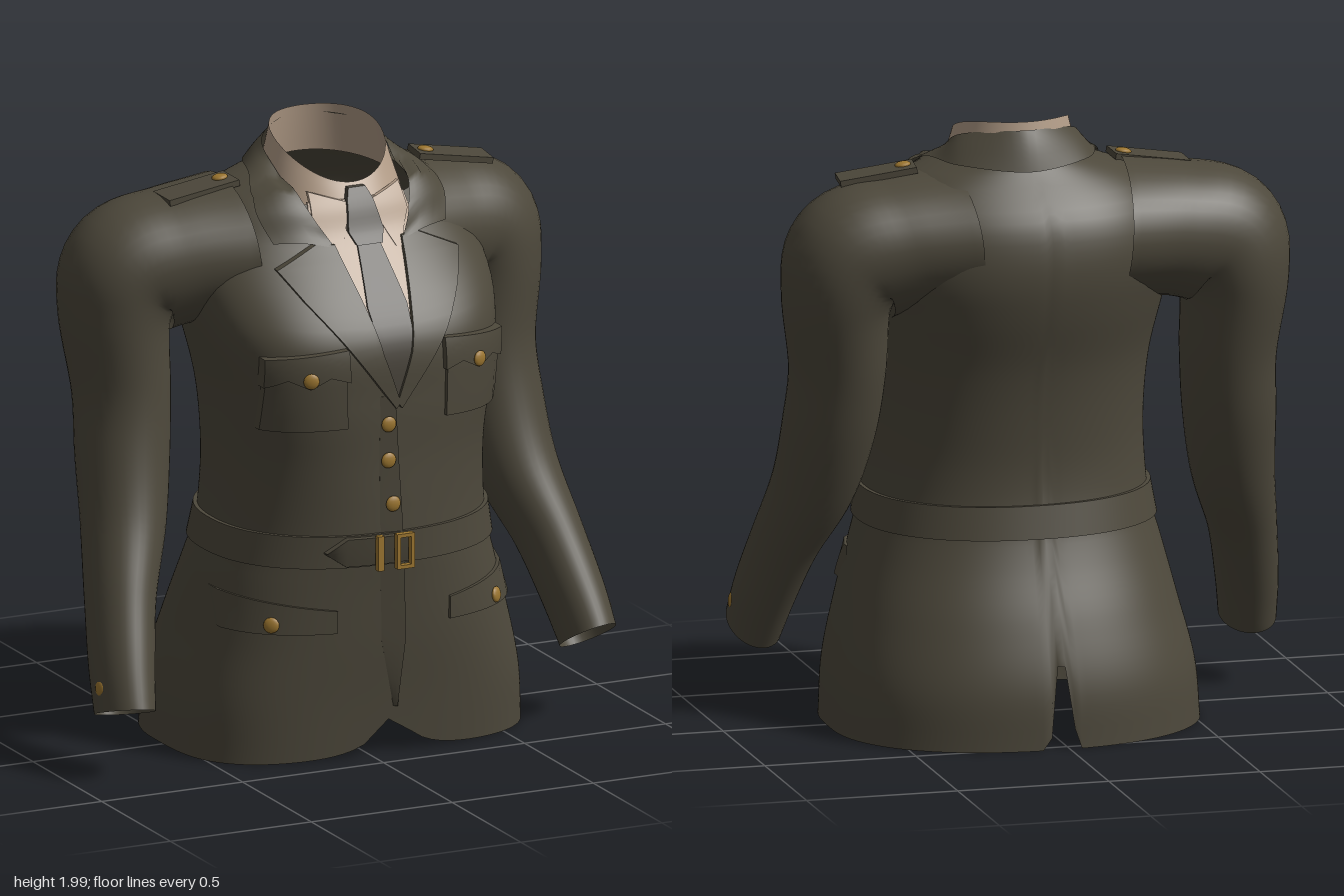
import * as THREE from 'three';
import { mergeVertices, toCreasedNormals } from 'three/addons/utils/BufferGeometryUtils.js';

const mat = (name, color) => {
  const m = new THREE.MeshStandardMaterial({ color, side: THREE.DoubleSide });
  m.name = name;
  return m;
};
const CX = 0.06; // centre line of the jacket body

// Body profile: height, then centre x, half width, front z, back z, squareness of the front
const profile = [
  [0, .06, .60, .40, -.54, 3.4], [.2, .06, .585, .42, -.53, 3.3], [.4, .06, .54, .445, -.47, 2.9],
  [.6, .055, .49, .465, -.385, 2.5], [.7, .055, .465, .475, -.35, 2.3], [.85, .055, .45, .475, -.33, 2.3],
  [1, .055, .445, .472, -.335, 2.5], [1.2, .055, .46, .472, -.36, 2.9], [1.4, .05, .495, .455, -.41, 2.9],
  [1.5, .05, .51, .395, -.425, 2.7], [1.6, .045, .505, .318, -.42, 2.4], [1.7, .045, .465, .238, -.39, 2.2],
  [1.78, .05, .41, .198, -.33, 2.2], [1.83, .06, .33, .165, -.285, 2.2], [1.87, .06, .21, .135, -.255, 2.2],
];
// Arm path: centre x, y, z, then radius across and radius front to back
const armPath = [
  [.27, 1.615, -.09, .23, .315], [.46, 1.60, -.105, .22, .258], [.605, 1.56, -.115, .225, .225],
  [.655, 1.44, -.11, .177, .21], [.645, 1.2, -.08, .155, .18], [.66, 1.0, -.035, .15, .165],
  [.69, .8, .04, .135, .15], [.75, .6, .15, .11, .135], [.79, .42, .25, .10, .13],
  [.81, .285, .325, .09, .128],
];
const smooth = (keys, rows) =>
  new THREE.CubicInterpolant(keys, rows.flat(), rows[0].length, new Float32Array(rows[0].length));
const bodyAt = smooth(profile.map(r => r[0]), profile.map(r => r.slice(1)));
const armAt = smooth(armPath.map((_, i) => i), armPath);

// Superelliptical body cross-section, squarer at the front than at the back
function section(y, off) {
  const [cx, hw, zf, zb, n] = bodyAt.evaluate(THREE.MathUtils.clamp(y, 0, 1.87));
  return { cx, hw: hw + off, mid: (zf + zb) / 2, half: (zf - zb) / 2 + off, n };
}
function bodyPoint(a, y, off = 0) {
  const s = section(y, off), sn = Math.sin(a), cs = Math.cos(a);
  const spow = v => Math.sign(v) * Math.abs(v) ** (2 / (cs > 0 ? s.n : 2.2));
  return [s.cx + s.hw * spow(sn), y, s.mid + s.half * spow(cs)];
}
function frontZ(x, y, off = 0) {
  const s = section(y, off);
  const u = Math.min(Math.abs(x - s.cx) / s.hw, 0.995);
  return s.mid + s.half * (1 - u ** s.n) ** (1 / s.n);
}

// Surface from a grid of points f(i, j)
function grid(nu, nv, f, crease) {
  const pos = [], idx = [];
  for (let j = 0; j <= nv; j++) for (let i = 0; i <= nu; i++) {
    pos.push(...f(i, j));
    if (i < nu && j < nv) {
      const a = j * (nu + 1) + i, b = a + nu + 1;
      idx.push(a, a + 1, b + 1, a, b + 1, b);
    }
  }
  let g = new THREE.BufferGeometry();
  g.setAttribute('position', new THREE.Float32BufferAttribute(pos, 3));
  g.setIndex(idx);
  g = mergeVertices(g, 1e-5);
  if (crease) return toCreasedNormals(g, crease);
  g.computeVertexNormals();
  return g;
}

// Raised cloth piece on the front; rows hold left x, left y, right x, right y from the centre line
function cloth(rows, side, offL, offR = offL) {
  const nu = 10, per = 5, nv = (rows.length - 1) * per;
  return grid(nu + 2, nv + 2, (i, j) => {
    const ci = THREE.MathUtils.clamp(i - 1, 0, nu), cj = THREE.MathUtils.clamp(j - 1, 0, nv);
    const k = Math.min(Math.floor(cj / per), rows.length - 2), t = cj / per - k, u = ci / nu;
    const r = rows[k].map((v, n) => v + (rows[k + 1][n] - v) * t);
    const x = CX + side * (r[0] + (r[2] - r[0]) * u), y = r[1] + (r[3] - r[1]) * u;
    const off = ci !== i - 1 || cj !== j - 1 ? -0.006 : offL + (offR - offL) * u;
    return [x, y, frontZ(x, y, off)];
  }, 0.6);
}
const band = rows => rows.map(([y, w]) => [-w, y, w, y]);

export function createModel() {
  const olive = mat('olive cloth', 0x4d483b), dark = mat('tie cloth', 0x48433a);
  const cream = mat('shirt cloth', 0xb39d88), brass = mat('brass', 0x9c7630);
  const model = new THREE.Group();
  model.name = 'uniformJacket';
  const add = (name, geo, m) => {
    const mesh = new THREE.Mesh(geo, m);
    mesh.name = name;
    model.add(mesh);
    return mesh;
  };
  const box = (name, w, h, d, x, y, z, m) => {
    const b = add(name, new THREE.BoxGeometry(w, h, d), m);
    b.position.set(x, y, z);
    return b;
  };
  // Domed button facing along a normal
  const button = (name, x, y, z, nx, ny, nz) => {
    const b = add(name, new THREE.SphereGeometry(.026, 14, 8), brass);
    b.scale.set(1, 1, .4);
    b.position.set(x, y, z);
    b.lookAt(x + nx, y + ny, z + nz);
  };
  const frontButton = (name, x, y, off) => {
    const e = .01, z = frontZ(x, y, off);
    button(name, x, y, z, (z - frontZ(x + e, y, off)) / e, (z - frontZ(x, y + e, off)) / e, 1);
  };

  // Body with a cutaway front hem, a back vent and a neckline dipping at the front
  const seg = 180, rowsUp = 56;
  add('body', grid(seg, rowsUp, (i, j) => {
    const a = (i % seg) / seg * Math.PI * 2, x = bodyPoint(a, 0)[0], c = Math.cos(a);
    const hem = c > 0
      ? .012 + .15 * Math.exp(-Math.abs(x - .08) / .075)
      : .012 + .27 * Math.exp(-(((x - .02) / .034) ** 4));
    const neck = 1.87 - .085 * Math.max(0, c) ** 1.5;
    return bodyPoint(a, hem + (neck - hem) * j / rowsUp);
  }), olive);
  add('frontOverlap', cloth([[-.06, 1.22, -.01, 1.22], [-.06, .7, .02, .7], [-.04, .4, .04, .4], [.015, .17, .025, .17]],
    1, 0, .012), olive);

  // Sleeves, broad where they flow out of the chest and back
  for (const side of [1, -1]) {
    const nv = 60, nu = 40, last = armPath.length - 1;
    const at = t => {
      const r = Array.from(armAt.evaluate(THREE.MathUtils.clamp(t, 0, last)));
      if (side < 0) { r[1] -= .06 * (t / last) ** 2; r[2] -= .045 * (t / last) ** 2; }
      return r;
    };
    add(side > 0 ? 'leftSleeve' : 'rightSleeve', grid(nu, nv, (i, j) => {
      const t = j / nv * last, c = at(t), p = at(t - .15), q = at(t + .15);
      const dir = new THREE.Vector3(q[0] - p[0], q[1] - p[1], q[2] - p[2]).normalize();
      const w = new THREE.Vector3(0, 0, 1).addScaledVector(dir, -dir.z).normalize();
      const u = w.clone().cross(dir), a = (i % nu) / nu * Math.PI * 2;
      const v = new THREE.Vector3(c[0], c[1], c[2])
        .addScaledVector(u, c[3] * Math.cos(a)).addScaledVector(w, c[4] * Math.sin(a));
      return [v.x * side, v.y, v.z];
    }), olive);
    button('cuffButton', side * .889, side > 0 ? .365 : .31, side > 0 ? .305 : .262, side, .1, .1);
  }

  // Shirt front, collar band and tie
  add('shirtFront', cloth(band([[1.8, .17], [1.75, .18], [1.6, .14], [1.4, .08], [1.25, .01]]), 1, .004), cream);
  add('shirtCollar', grid(64, 6, (i, j) => {
    const a = (i % 64) / 32 * Math.PI, f = (1 + Math.cos(a)) / 2, t = j / 6;
    const low = 1.84 - .075 * f, top = 2 - .155 * f * f, flare = (1 - t) * (.03 + .025 * f);
    return [CX + (.185 + flare) * Math.sin(a), low + (top - low) * t, -.035 + (.19 + flare) * Math.cos(a)];
  }), cream);
  for (const side of [1, -1])
    add('shirtCollarPoint', cloth([[.03, 1.79, .16, 1.83], [.055, 1.74, .17, 1.75], [.095, 1.65, .115, 1.65]],
      side, .009), cream);
  add('tieBlade', cloth(band([[1.7, .035], [1.5, .07], [1.36, .06], [1.22, .015]]), 1, .012), dark);
  add('tieKnot', cloth(band([[1.835, .03], [1.8, .045], [1.71, .062], [1.67, .045]]), 1, .021), dark);

  // Jacket collar, wrapping from one notch round the back to the other
  const onFront = (x, y) => [x, y, frontZ(CX + x, y, .02)];
  const wrap = half => new THREE.CatmullRomCurve3(
    [...half, ...half.slice(0, -1).reverse().map(([x, y, z]) => [-x, y, z])]
      .map(([x, y, z]) => new THREE.Vector3(CX + x, y, z)));
  const top = wrap([onFront(.12, 1.67), onFront(.17, 1.76), [.205, 1.87, .02], [.195, 1.945, -.11], [0, 1.975, -.238]]);
  const low = wrap([onFront(.31, 1.69), onFront(.335, 1.78), [.285, 1.86, -.02], [.215, 1.865, -.2], [0, 1.85, -.292]]);
  add('collar', grid(64, 6, (i, j) => {
    const p = top.getPoint(i / 64).lerp(low.getPoint(i / 64), j / 6);
    const inFront = p.z > .06 ? frontZ(p.x, p.y, .02) : p.z;
    return [p.x, p.y + .01 * Math.sin(j / 6 * Math.PI), Math.max(p.z, inFront)];
  }), olive);

  for (const side of [1, -1]) {
    const sideX = x => CX + side * x;
    add('lapel', cloth([[.12, 1.68, .18, 1.685], [.11, 1.63, .325, 1.62], [.08, 1.5, .27, 1.53],
      [.05, 1.36, .13, 1.34], [-.005, 1.2, .01, 1.18]], side, .022), olive);

    // Breast pocket with a scalloped flap
    add('breastPocket', cloth([[.18, 1.37, .415, 1.36], [.175, 1.13, .42, 1.12]], side, .016), olive);
    const flap = [.17, .235, .3, .365, .425].map((x, i) =>
      [x, 1.39 - i * .006, x, [1.285, 1.305, 1.27, 1.3, 1.27][i]]);
    add('breastPocketFlap', cloth(flap, side, .026), olive);
    frontButton('breastPocketButton', sideX(.3), 1.3, .03);

    // Hip pocket flap
    add('hipPocketFlap', cloth([[.2, .52, .5, .565], [.2, .445, .51, .45]], side, .012), olive);
    frontButton('hipPocketButton', sideX(.4), .48, .015);

    // Shoulder strap
    const strap = box('shoulderStrap', .25, .02, .12, sideX(.45), 1.823, -.06, olive);
    strap.rotation.set(0, side > 0 ? -.12 : 0, -side * .15);
    button('strapButton', sideX(.365), 1.848, -.068, side * .15, 1, 0);
  }

  // Front buttons
  for (const [x, y] of [[.025, 1.13], [.025, 1.01], [.04, .865]]) frontButton('frontButton', x, y, .014);

  // Belt with its pointed end and buckle
  const beltRows = [[.665, 0], [.665, .013], [.77, .013], [.77, 0]];
  add('belt', grid(96, 3, (i, j) =>
    bodyPoint((i % 96) / 48 * Math.PI, beltRows[j][0], beltRows[j][1]), .6), olive);
  add('beltEnd', cloth([[-.245, .715, -.245, .72], [-.18, .67, -.18, .765], [.04, .67, .04, .765]],
    1, .02, .035), olive);
  const bz = frontZ(CX, .715, .044);
  for (const x of [.04, .09]) box('buckleSide', .012, .115, .022, x, .715, bz, brass);
  for (const y of [.663, .767]) box('buckleBar', .06, .012, .022, .065, y, bz, brass);
  box('buckleKeeper', .022, .115, .022, -.02, .715, bz - .004, brass);

  return model;
}
